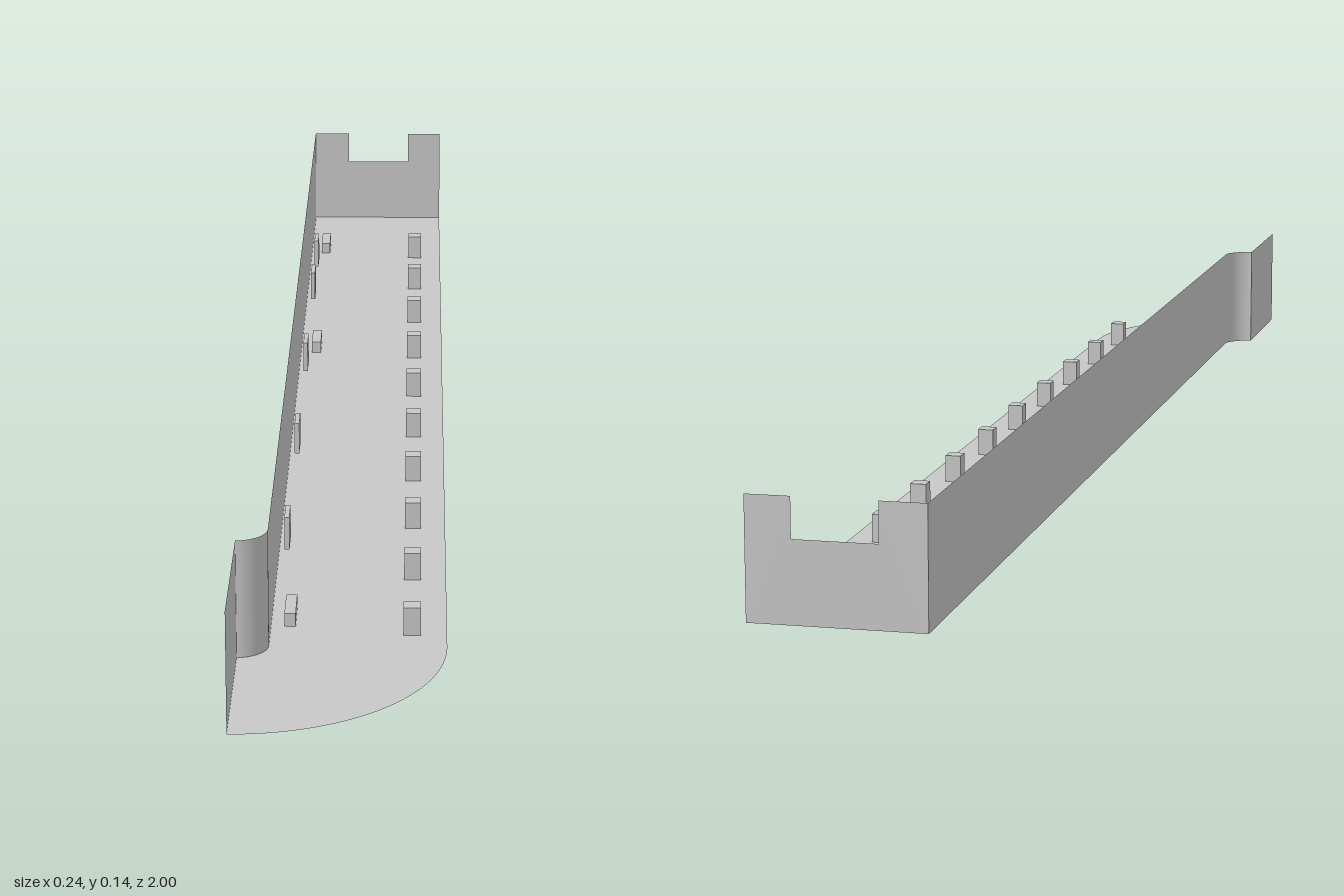
import * as THREE from 'three';

const LEFT = 0.118, WALL = -0.085, END = -0.12, HEIGHT = 0.142;
const BEND_Z = 0.763; // both platform curves share a centre at (END, BEND_Z)
const INNER_R = WALL - END, OUTER_R = LEFT - END;

export function createModel() {
  const group = new THREE.Group();
  const concrete = new THREE.MeshStandardMaterial({ color: 0xc8c8c8, side: THREE.DoubleSide });
  concrete.name = 'pale concrete';

  const add = (name, geometry, x = 0, y = 0, z = 0) => {
    const mesh = new THREE.Mesh(geometry, concrete);
    mesh.name = name;
    mesh.position.set(x, y, z);
    group.add(mesh);
  };

  // Floor sheet: long strip that bends to the right at the front
  const plan = new THREE.Shape();
  plan.moveTo(WALL, 1);
  plan.lineTo(LEFT, 1);
  plan.lineTo(LEFT, -BEND_Z);
  plan.absarc(END, -BEND_Z, OUTER_R, 0, -Math.PI / 2, true);
  plan.lineTo(END, -BEND_Z - INNER_R);
  plan.absarc(END, -BEND_Z, INNER_R, -Math.PI / 2, 0, false);
  plan.lineTo(WALL, 1);
  add('floor', new THREE.ShapeGeometry(plan, 24).rotateX(-Math.PI / 2));

  // Side walls, facing the floor, joined by a rounded corner
  const sideWall = (name, x, z0, z1) =>
    add(name, new THREE.PlaneGeometry(z1 - z0, HEIGHT).rotateY(Math.PI / 2), x, HEIGHT / 2, (z0 + z1) / 2);
  sideWall('longWall', WALL, -1, BEND_Z);
  sideWall('endWall', END, BEND_Z + INNER_R, 1);
  add('roundedWallCorner',
    new THREE.CylinderGeometry(INNER_R, INNER_R, HEIGHT, 16, 1, true, 0, Math.PI / 2),
    END, HEIGHT / 2, BEND_Z);

  // Back wall with a notch in its top edge
  const back = new THREE.Shape([
    [WALL, 0], [LEFT, 0], [LEFT, HEIGHT], [0.066, HEIGHT],
    [0.066, 0.095], [-0.031, 0.095], [-0.031, HEIGHT], [WALL, HEIGHT],
  ].map(([x, y]) => new THREE.Vector2(x, y)));
  add('backWall', new THREE.ShapeGeometry(back), 0, 0, -1);

  // Row of short posts along the open edge
  for (let i = 0; i < 10; i++) {
    add('post', new THREE.BoxGeometry(0.02, 0.034, 0.02), 0.078, 0.017, -0.779 + i * 0.1668);
  }

  // Low benches by the wall
  for (const z of [-0.82, -0.32, 0.68]) {
    add('bench', new THREE.BoxGeometry(0.013, 0.016, 0.056), -0.063, 0.008, z);
  }

  // Panels standing just off the wall
  for (const z of [-0.65, -0.483, -0.15, 0.183, 0.517]) {
    add('wallPanel', new THREE.BoxGeometry(0.006, 0.041, 0.042), -0.073, 0.0475, z);
  }

  return group;
}
